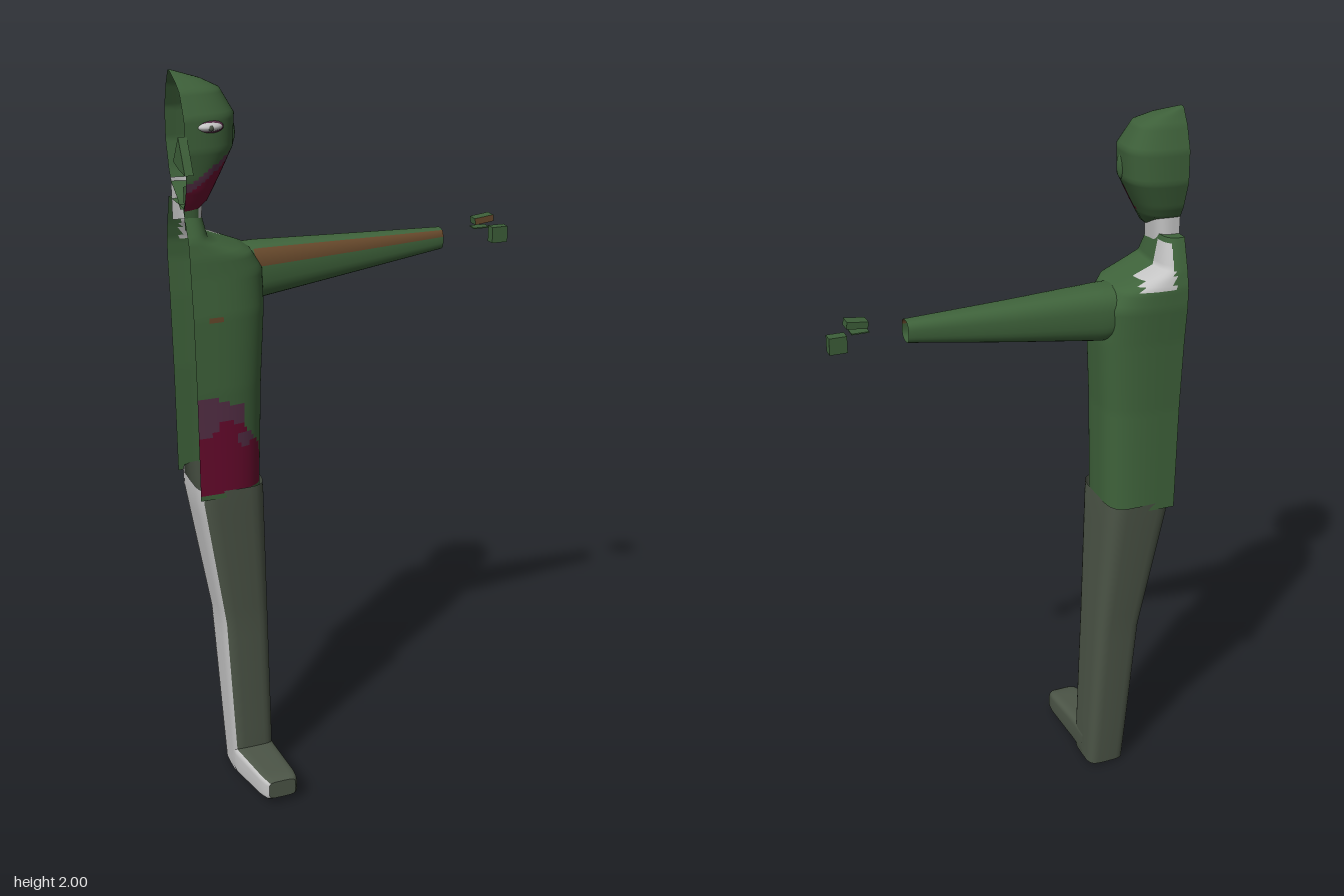
import * as THREE from 'three';

const mat = (name, color) => {
  const m = new THREE.MeshStandardMaterial({ color, side: THREE.DoubleSide });
  m.name = name;
  return m;
};

// Skins rings along an axis; each station is [t, aMin, aMax, bMin, bMax].
// paint(x, y, z, u) picks the material index of every face.
function loft(name, stations, { axis = 'y', half = false, e = 0.6, seg = 32, step = 0.02, mats, paint = () => 0 }) {
  const rows = [];
  stations.forEach((s, i) => {
    if (i === 0) return rows.push(s);
    const p = stations[i - 1];
    const n = Math.max(1, Math.ceil(Math.abs(s[0] - p[0]) / step));
    for (let k = 1; k <= n; k++) rows.push(s.map((v, j) => p[j] + (v - p[j]) * k / n));
  });
  const power = v => Math.sign(v) * Math.abs(v) ** e;
  const cols = half ? seg + 1 : seg;
  const angle = j => half ? -Math.PI / 2 + Math.PI * j / seg : 2 * Math.PI * j / seg;
  const pos = [];
  for (const [t, a0, a1, b0, b1] of rows) {
    for (let j = 0; j < cols; j++) {
      const u = angle(j), c = power(Math.abs(Math.cos(u)) < 1e-9 ? 0 : Math.cos(u));
      const a = half ? a0 + (a1 - a0) * c : (a0 + a1) / 2 + (a1 - a0) / 2 * c;
      const b = (b0 + b1) / 2 + (b1 - b0) / 2 * power(Math.sin(u));
      pos.push(...(axis === 'y' ? [a, t, b] : axis === 'x' ? [t, a, b] : [a, b, t]));
    }
  }
  const faces = mats.map(() => []);
  for (let i = 0; i < rows.length - 1; i++) {
    for (let j = 0; j < seg; j++) {
      const k = (j + 1) % cols;
      const p = i * cols + j, q = i * cols + k, r = p + cols, s = q + cols;
      const mid = [0, 1, 2].map(d => (pos[p * 3 + d] + pos[q * 3 + d] + pos[r * 3 + d] + pos[s * 3 + d]) / 4);
      const list = faces[paint(...mid, angle(j + 0.5))];
      if (axis === 'y') list.push(p, r, q, q, r, s);
      else list.push(p, q, r, q, s, r);
    }
  }
  const g = new THREE.BufferGeometry();
  g.setAttribute('position', new THREE.Float32BufferAttribute(pos, 3));
  g.setIndex(faces.flat());
  let start = 0;
  faces.forEach((f, i) => { if (f.length) g.addGroup(start, f.length, i); start += f.length; });
  g.computeVertexNormals();
  const mesh = new THREE.Mesh(g, mats);
  mesh.name = name;
  return mesh;
}

export function createModel() {
  const model = new THREE.Group();
  model.name = 'halfFigure';
  const shirt = mat('shirtGreen', 0x3f633b);
  const skin = mat('skinGreen', 0x3d5f39);
  const trousers = mat('trouserGrey', 0x4c5547);
  const pale = mat('paleGrey', 0xc4c4c4);
  const red = mat('darkRed', 0x6a0a2e);
  const bruise = mat('bruisePurple', 0x573048);
  const brown = mat('brown', 0x66482b);
  const cut = -0.46; // open middle plane

  // Torso with stained belly and pale shoulder patch
  model.add(loft('torso', [
    [0.9, cut, -0.275, -0.175, 0.05], [1.2, cut, -0.265, -0.172, 0.055],
    [1.4, cut, -0.25, -0.178, 0.05], [1.5, cut, -0.25, -0.185, 0.04],
    [1.55, cut, -0.28, -0.183, 0.037], [1.595, cut, -0.395, -0.172, 0.03],
    [1.675, cut, -0.41, -0.145, -0.01], [1.675, cut, -0.41, -0.145, -0.01],
    [1.675, cut, cut, -0.07, -0.07],
  ], {
    half: true, seg: 48, step: 0.014, mats: [shirt, red, bruise, pale, brown],
    paint: (x, y, z) => {
      if (z < -0.1 && x > -0.425 && x < -0.34 && y > 1.555 && y < 1.66) return 3;
      if (z < -0.02) return 0;
      const edge = 1.13 - Math.max(0, x + 0.38) * 0.9 + 0.012 * Math.sin(x * 70);
      if (y < edge && y > 0.915 && x < -0.285) {
        const blot = Math.hypot(x + 0.44, (y - 1.12) * 0.8) < 0.035 || Math.hypot(x + 0.33, y - 1.06) < 0.022;
        return blot ? 2 : 1;
      }
      if (y > 1 && y < edge + 0.05 && x < -0.33) return 2;
      if (Math.hypot(x + 0.4, y - 1.39) < 0.012) return 4;
      return 0;
    },
  }));

  // Tapering sleeve, open at the wrist, with a brown streak
  model.add(loft('arm', [
    [-0.37, 1.42, 1.55, -0.15, -0.01], [-0.25, 1.405, 1.553, -0.148, -0.02],
    [0, 1.44, 1.545, -0.133, -0.04], [0.275, 1.48, 1.538, -0.112, -0.06],
  ], {
    axis: 'x', e: 0.75, mats: [shirt, brown],
    paint: (x, y, z, u) => x > -0.28 && u > 0.55 && u < 1.4 ? 1 : 0,
  }));

  // Leg, pale on its inner side and under the heel
  model.add(loft('leg', [
    [0.005, -0.32, -0.32, -0.055, -0.055], [0.005, -0.375, -0.26, -0.12, 0.01],
    [0.005, -0.375, -0.26, -0.12, 0.01], [0.1, -0.38, -0.26, -0.125, 0.015],
    [0.5, -0.4, -0.265, -0.142, 0.023], [0.88, cut, -0.272, -0.172, 0.048],
    [0.92, cut, -0.274, -0.175, 0.05],
  ], {
    e: 0.45, step: 0.05, mats: [trousers, pale],
    paint: (x, y, z, u) => y < 0.006 || Math.cos(u) < -0.7 ? 1 : 0,
  }));

  // Foot pointing forward
  model.add(loft('foot', [
    [-0.06, -0.376, -0.258, 0, 0.09], [0.01, -0.378, -0.258, 0.003, 0.09],
    [0.15, -0.352, -0.248, 0.012, 0.084], [0.175, -0.343, -0.25, 0.015, 0.08],
    [0.185, -0.335, -0.257, 0.022, 0.074], [0.185, -0.335, -0.257, 0.022, 0.074],
    [0.185, -0.3, -0.3, 0.05, 0.05],
  ], {
    axis: 'z', e: 0.4, mats: [trousers, pale],
    paint: (x, y, z, u) => z < 0.184 && Math.cos(u) < -0.7 ? 1 : 0,
  }));

  // Neck
  model.add(loft('neck', [
    [1.62, cut, -0.408, -0.115, 0.003], [1.73, cut, -0.4, -0.115, 0.0],
  ], { half: true, mats: [skin, pale], paint: (x, y, z) => z < -0.005 ? 1 : 0 }));

  // Half head with stained jaw
  model.add(loft('head', [
    [1.665, cut, -0.425, -0.035, 0], [1.69, cut, -0.395, -0.06, 0.012],
    [1.72, cut, -0.375, -0.115, 0.025], [1.75, cut, -0.358, -0.13, 0.032],
    [1.82, cut, -0.32, -0.15, 0.04], [1.9, cut, -0.313, -0.147, 0.032],
    [1.96, cut, -0.345, -0.125, 0], [1.98, cut, -0.385, -0.112, -0.035],
    [2, cut, -0.452, -0.1, -0.085], [2, cut, cut, -0.09, -0.09],
  ], {
    half: true, e: 0.72, step: 0.01, mats: [skin, red, bruise],
    paint: (x, y, z) => {
      const top = 1.715 + (x - cut) * 0.65;
      if (z < -0.04 || y < 1.64) return 0;
      if (y < top && (z > -0.015 || y > 1.725)) return 1;
      return y < top + 0.018 && z > 0 ? 2 : 0;
    },
  }));

  // Nose wedge
  const profile = new THREE.Shape([[-0.02, 1.79], [0.035, 1.86], [0.06, 1.82], [0.085, 1.775], [0.03, 1.78]]
    .map(([z, y]) => new THREE.Vector2(z, y)));
  const nose = new THREE.Mesh(new THREE.ExtrudeGeometry(profile, { depth: 0.022, bevelEnabled: false }).rotateY(-Math.PI / 2), skin);
  nose.name = 'nose';
  nose.position.x = -0.455;
  model.add(nose);

  // Eye, eyelid rim and ear
  const blob = (name, m, p, s) => {
    const mesh = new THREE.Mesh(new THREE.SphereGeometry(1, 20, 12), m);
    mesh.name = name;
    mesh.position.set(...p);
    mesh.scale.set(...s);
    model.add(mesh);
  };
  blob('eyeRim', bruise, [-0.395, 1.877, 0.02], [0.038, 0.017, 0.02]);
  blob('eye', pale, [-0.395, 1.878, 0.025], [0.033, 0.012, 0.022]);
  blob('pupil', trousers, [-0.395, 1.877, 0.044], [0.007, 0.007, 0.004]);
  blob('ear', skin, [-0.322, 1.85, -0.045], [0.012, 0.035, 0.016]);

  // Loose finger pieces beyond the wrist
  const piece = (name, size, p, tilt, m) => {
    const mesh = new THREE.Mesh(new THREE.BoxGeometry(...size), m);
    mesh.name = name;
    mesh.position.set(...p);
    mesh.rotation.z = tilt;
    model.add(mesh);
  };
  piece('upperFinger', [0.055, 0.018, 0.033], [0.402, 1.55, -0.088], 0.12, [skin, skin, skin, skin, brown, skin]);
  piece('fingerSliver', [0.045, 0.003, 0.03], [0.395, 1.528, -0.088], 0, skin);
  piece('lowerFinger', [0.046, 0.044, 0.028], [0.452, 1.503, -0.088], 0, skin);

  return model;
}
